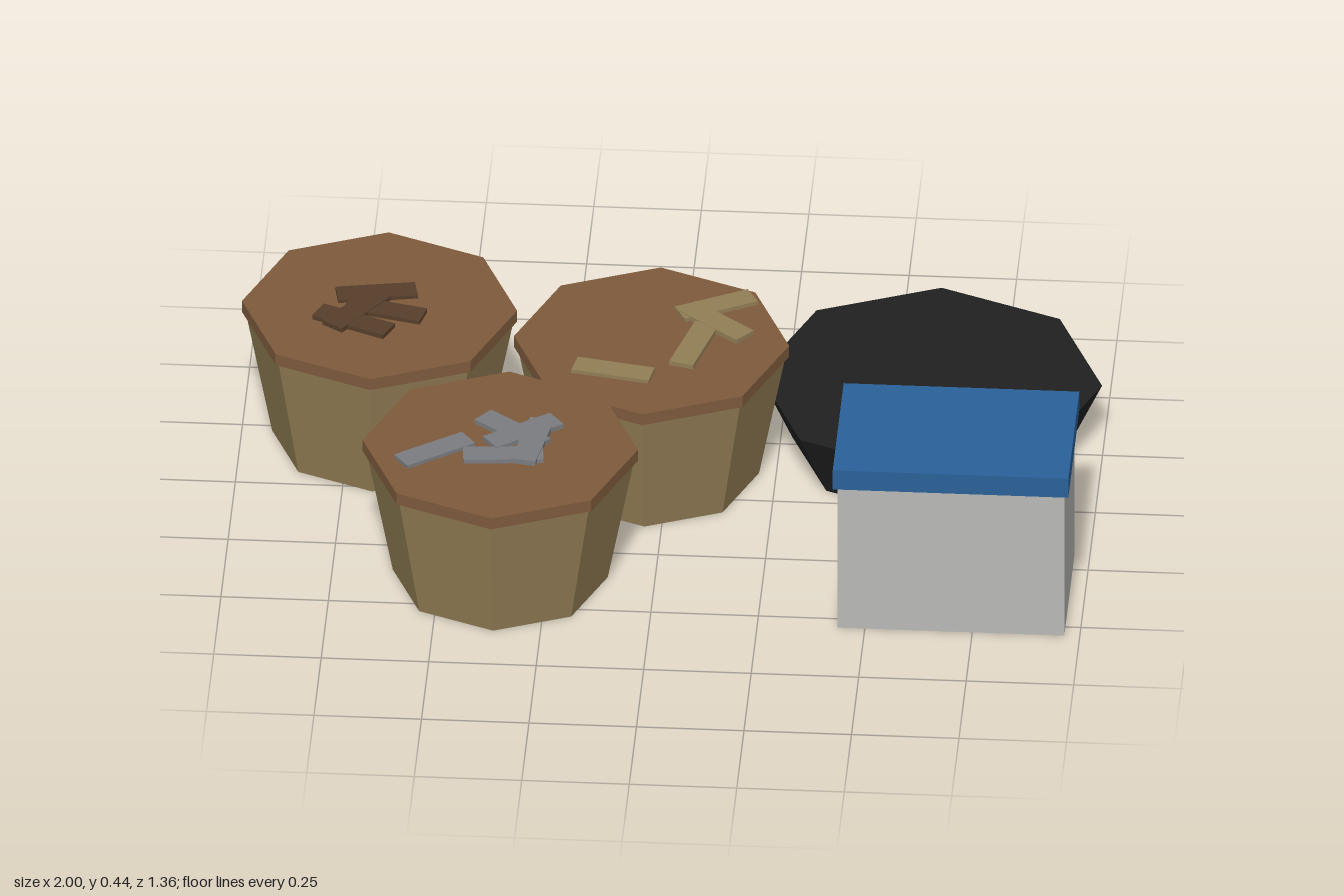
import * as THREE from 'three';

const mat = (name, color) => {
  const m = new THREE.MeshStandardMaterial({ color });
  m.name = name;
  m.flatShading = true;
  return m;
};

export function createModel() {
  const tan = mat('tan', 0x927e55);
  const brown = mat('brown', 0x7d5a3c);
  const darkBrown = mat('dark brown', 0x573e2a);
  const grey = mat('grey', 0x7a7c7f);
  const black = mat('black', 0x202020);
  const lightGrey = mat('light grey', 0xb8b8b6);
  const blue = mat('blue', 0x2a6098);

  const group = new THREE.Group();
  const add = (parent, name, geometry, material, x, y, z) => {
    const mesh = new THREE.Mesh(geometry, material);
    mesh.name = name;
    mesh.position.set(x, y, z);
    parent.add(mesh);
    return mesh;
  };

  // Octagonal baskets; each piece is [x, z, angle in degrees] on the lid
  const baskets = [
    { name: 'backBasket', x: -0.68, z: -0.23, material: darkBrown, pieces: [
      [-0.69, -0.28, 10], [-0.665, -0.205, -14], [-0.735, -0.15, -24], [-0.73, -0.2, 55]] },
    { name: 'middleBasket', x: -0.04, z: -0.12, material: tan, pieces: [
      [-0.12, 0.02, -11], [0.1, -0.275, 28], [0.06, -0.1, 75], [0.105, -0.2, -40]] },
    { name: 'frontBasket', x: -0.36, z: 0.355, material: grey, pieces: [
      [-0.51, 0.395, 36], [-0.35, 0.405, 5], [-0.335, 0.3, -38], [-0.31, 0.305, 37], [-0.285, 0.345, 80]] },
  ];
  for (const b of baskets) {
    const basket = new THREE.Group();
    basket.name = b.name;
    group.add(basket);
    add(basket, 'basketBody', new THREE.CylinderGeometry(0.312, 0.25, 0.325, 8), tan, b.x, 0.1625, b.z);
    add(basket, 'basketTop', new THREE.CylinderGeometry(0.32, 0.32, 0.03, 8), brown, b.x, 0.337, b.z);
    b.pieces.forEach(([x, z, angle], i) => {
      // Tiny height steps keep overlapping pieces apart
      const piece = add(basket, 'stick', new THREE.BoxGeometry(0.186, 0.014, 0.058), b.material,
        x, 0.354 + i * 0.001, z);
      piece.rotation.y = THREE.MathUtils.degToRad(angle);
    });
  }

  // Shallow octagonal tub
  add(group, 'tub', new THREE.CylinderGeometry(0.4, 0.32, 0.172, 8), black, 0.597, 0.086, -0.28);

  // Cool box with overhanging lid
  add(group, 'boxBody', new THREE.BoxGeometry(0.528, 0.385, 0.36), lightGrey, 0.7, 0.1925, 0.358);
  add(group, 'boxLid', new THREE.BoxGeometry(0.548, 0.052, 0.38), blue, 0.7, 0.411, 0.358);

  return group;
}
